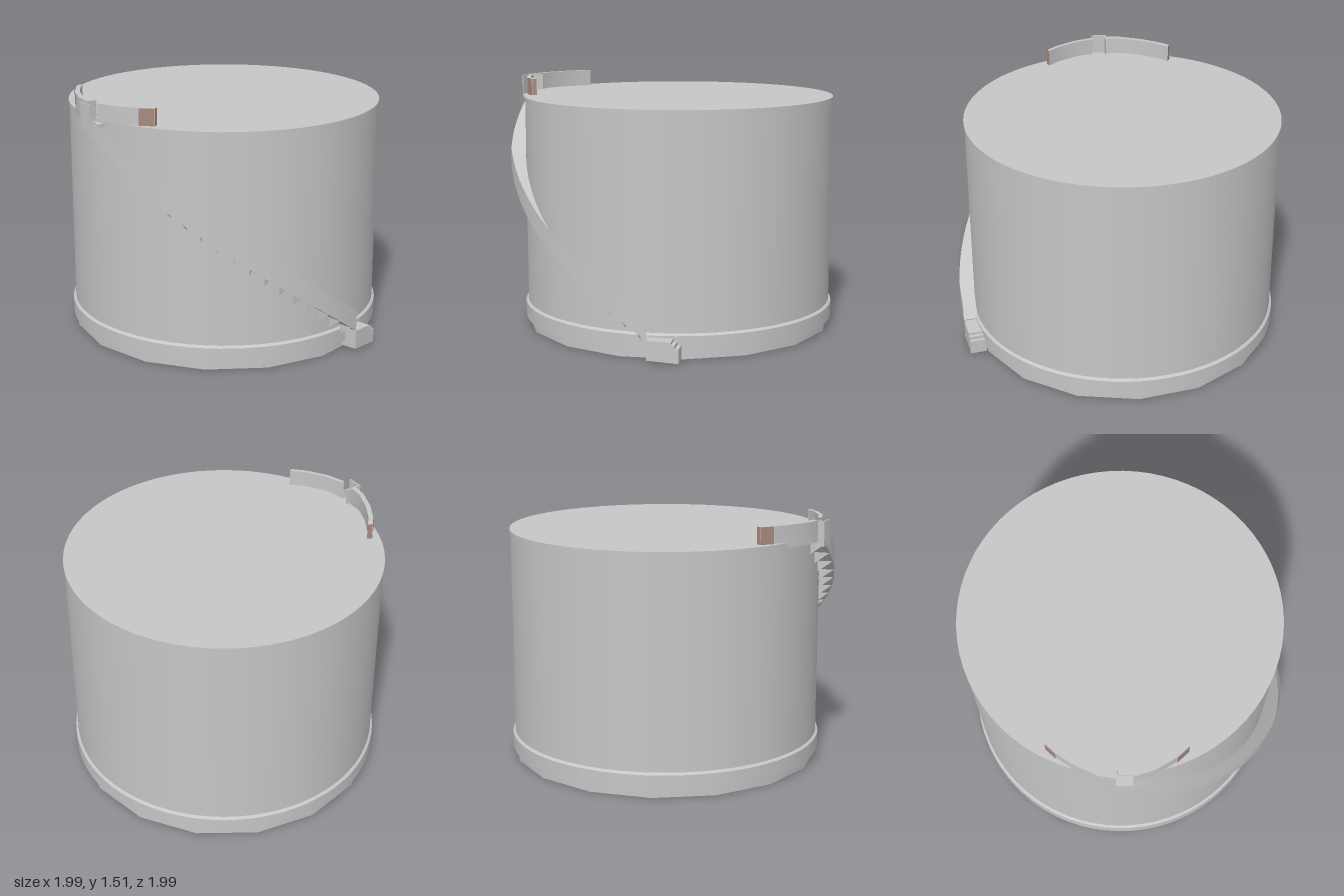
import * as THREE from 'three';

const CX = -0.043, CZ = -0.04; // tank axis
const WALL = 0.942, OUTER = 1.033;
const DEG = Math.PI / 180;

export function createModel() {
  const model = new THREE.Group();
  const steel = new THREE.MeshStandardMaterial({ color: 0xc6c6c6, side: THREE.DoubleSide });
  steel.name = 'grey steel';
  const rust = new THREE.MeshStandardMaterial({ color: 0xa88a7e, side: THREE.DoubleSide });
  rust.name = 'rusty brown';

  const add = (name, geometry, material = steel, parent = model) => {
    const mesh = new THREE.Mesh(geometry, material);
    mesh.name = name;
    parent.add(mesh);
    return mesh;
  };

  // Strip between two lines of points
  const ribbon = (lineA, lineB) => {
    const pos = [], index = [];
    lineA.forEach((a, i) => {
      pos.push(...a, ...lineB[i]);
      const k = i * 2;
      if (i) index.push(k - 2, k, k - 1, k - 1, k, k + 1);
    });
    const g = new THREE.BufferGeometry();
    g.setAttribute('position', new THREE.Float32BufferAttribute(pos, 3));
    g.setIndex(index);
    g.computeVertexNormals();
    return g;
  };

  // Tank: shell, roof, lip and base band share one axis
  const tank = new THREE.Group();
  tank.name = 'tank';
  tank.position.set(CX, 0, CZ);
  model.add(tank);
  const tube = (name, rTop, rBottom, y0, y1, sides = 72) => {
    const g = new THREE.CylinderGeometry(rTop, rBottom, y1 - y0, sides, 1, true);
    add(name, g.translate(0, (y0 + y1) / 2, 0), steel, tank);
  };
  tube('shell', WALL, WALL, 0.05, 1.41);
  tube('roofLip', 0.947, 0.947, 1.402, 1.413);
  tube('bandTop', WALL, 0.957, 0.14, 0.152);
  tube('baseBand', 0.957, 0.957, 0.05, 0.14);
  tube('skirt', WALL, WALL, 0, 0.05, 16);
  add('roof', new THREE.CircleGeometry(0.947, 72).rotateX(-Math.PI / 2).translate(0, 1.413, 0), steel, tank);
  add('bandUnderside', new THREE.RingGeometry(0.92, 0.957, 72).rotateX(Math.PI / 2).translate(0, 0.05, 0), steel, tank);

  // Foot plate: sixteen-sided outline with an eight-sided opening
  const polygon = (r, n) => Array.from({ length: n }, (_, i) =>
    new THREE.Vector2(r * Math.sin(i * 2 * Math.PI / n), r * Math.cos(i * 2 * Math.PI / n)));
  const foot = new THREE.Shape(polygon(WALL, 16));
  foot.holes.push(new THREE.Path(polygon(WALL - 0.004, 8)));
  add('footPlate', new THREE.ShapeGeometry(foot).rotateX(Math.PI / 2), steel, tank);

  // Spiral stair: angle runs from the front round to the left side
  const A0 = 2, A1 = 101, STEPS = 48;
  const stairY = (a) => 1.385 - 0.0124 * a;
  const at = (r, a, y) => [r * Math.sin(a * DEG), y, r * Math.cos(a * DEG)];
  const stair = new THREE.Group();
  stair.name = 'spiralStair';
  stair.position.set(CX, 0, CZ);
  model.add(stair);
  const helix = (r, lift) => Array.from({ length: STEPS + 1 }, (_, i) => {
    const a = A0 + (A1 - A0) * i / STEPS;
    return at(r, a, stairY(a) + lift);
  });
  add('stairRamp', ribbon(helix(WALL, 0), helix(OUTER, 0)), steel, stair);
  add('stairOuterPanel', ribbon(helix(OUTER, 0), helix(OUTER, 0.125)), steel, stair);

  // Slanted support brackets under the stair
  for (let i = 0; i < 19; i++) {
    const a = 1 + i * 5.4, y = stairY(a);
    const plate = ribbon([at(WALL, a, y), at(WALL, a, y - 0.065)], [at(OUTER, a, y), at(OUTER - 0.01, a, y - 0.005)]);
    add('stairBracket', plate, steel, stair);
  }

  // Stepped block at the foot of the stair
  const block = new THREE.Shape();
  [[0, 0.015], [0, 0.13], [0.14, 0.125], [0.14, 0.11], [0.163, 0.11], [0.163, 0.09],
    [0.185, 0.09], [0.185, 0.005]].forEach(([x, y], i) => (i ? block.lineTo(x, y) : block.moveTo(x, y)));
  const blockGeo = new THREE.ExtrudeGeometry(block, { depth: 0.1, bevelEnabled: false });
  blockGeo.rotateY(Math.PI / 2).translate(0.932, 0, 0);
  add('stairFoot', blockGeo, steel, stair).rotation.y = (101 - 90) * DEG;

  // Landing at the head of the stair
  const landing = add('landingFloor', new THREE.BoxGeometry(0.095, 0.02, 0.11), steel);
  landing.position.set(0.002, 1.38, 0.938);
  add('landingFrontPanel', new THREE.BoxGeometry(0.095, 0.15, 0.008), steel).position.set(0.002, 1.435, 0.989);
  add('landingSidePanel', new THREE.BoxGeometry(0.008, 0.13, 0.1), steel).position.set(-0.041, 1.445, 0.94);

  // Roof guard rails: solid curved walls, each with a brown end
  const wallStrip = (name, pts, y0, y1, t) => {
    const inner = pts.map(([x, z]) => {
      const d = Math.hypot(x - CX, z - CZ);
      return [x - (x - CX) / d * t, z - (z - CZ) / d * t];
    });
    const line = (p, y) => p.map(([x, z]) => [x, y, z]);
    const rail = new THREE.Group();
    rail.name = name;
    model.add(rail);
    add('outerFace', ribbon(line(pts, y0), line(pts, y1)), steel, rail);
    add('innerFace', ribbon(line(inner, y0), line(inner, y1)), steel, rail);
    add('topFace', ribbon(line(pts, y1), line(inner, y1)), steel, rail);
    const e = [pts[0], inner[0]];
    add('endFace', ribbon(line(e, y0), line(e, y1)), rust, rail);
  };
  const endPanel = ([x0, z0], [x1, z1]) => add('railEnd',
    ribbon([[x0, 1.412, z0], [x1, 1.412, z1]], [[x0, 1.513, z0], [x1, 1.513, z1]]), rust);
  wallStrip('leftRail', [[0.355, 0.762], [0.29, 0.825], [0.17, 0.90], [0.05, 0.94]], 1.412, 1.513, 0.025);
  wallStrip('rightRail', [[-0.44, 0.762], [-0.38, 0.815], [-0.27, 0.885], [-0.14, 0.94], [-0.04, 0.953]], 1.385, 1.513, 0.03);
  endPanel([0.358, 0.766], [0.292, 0.829]);
  endPanel([-0.443, 0.766], [-0.382, 0.819]);

  // Narrow walkway overhanging the roof edge
  add('walkway', ribbon(
    [[-0.27, 1.385, 0.86], [-0.14, 1.385, 0.89], [-0.04, 1.385, 0.9]],
    [[-0.27, 1.385, 0.885], [-0.14, 1.385, 0.94], [-0.04, 1.385, 0.953]]));

  return model;
}
